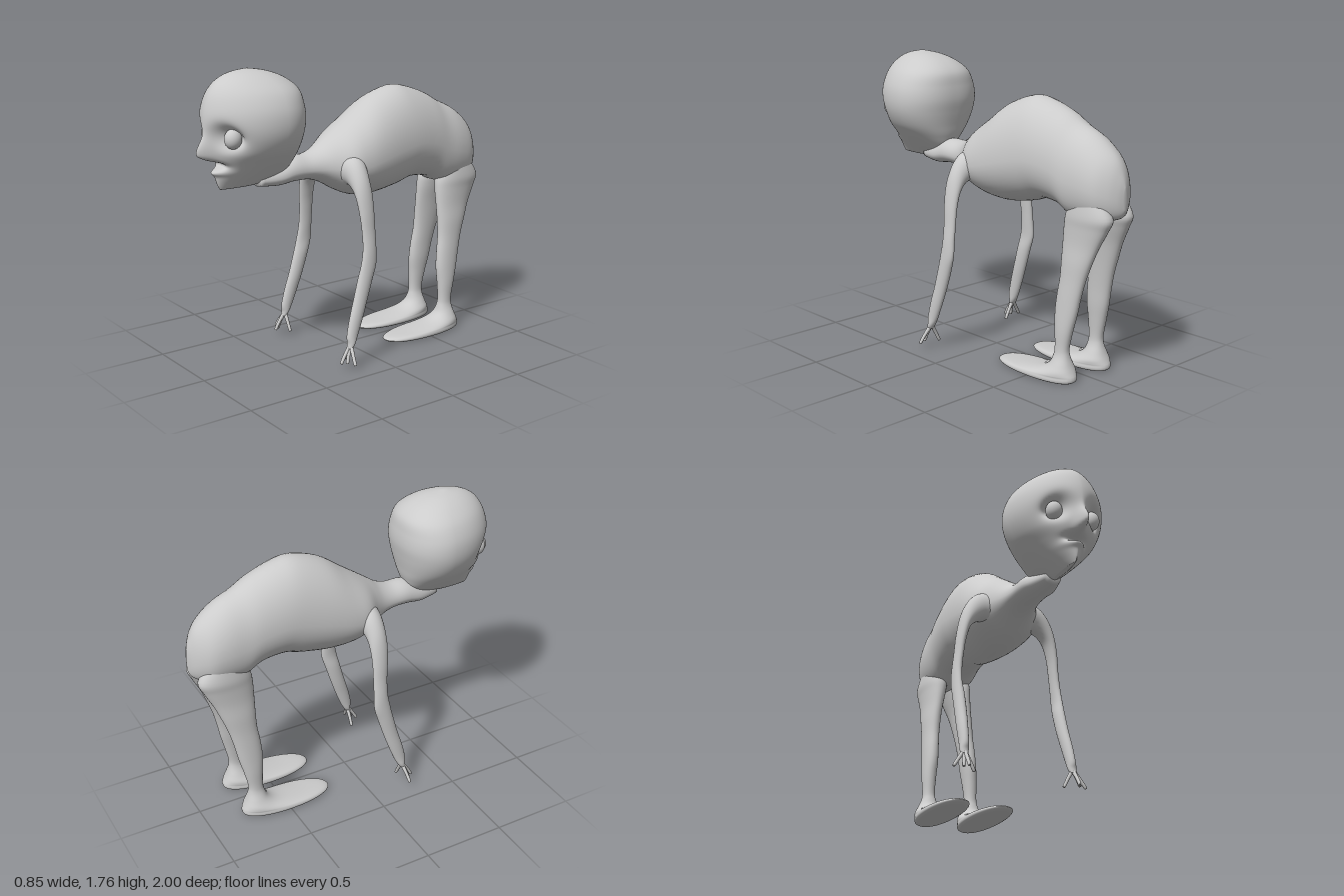
import * as THREE from 'three';

const material = new THREE.MeshStandardMaterial({ color: 0xcccccc, roughness: 0.8 });
const spow = (v, p) => Math.sign(v) * Math.abs(v) ** p;
const bell = (d, w) => Math.exp(-((d / w) ** 2));

// Smoothly interpolates rows of numbers at u in 0..1
function sampleRows(rows, u) {
  const f = u * (rows.length - 1);
  const i = Math.min(Math.floor(f), rows.length - 2);
  const t = f - i;
  const at = k => rows[Math.max(0, Math.min(rows.length - 1, k))];
  return rows[0].map((_, c) => {
    const a = at(i - 1)[c], b = at(i)[c], d = at(i + 1)[c], e = at(i + 2)[c];
    const m0 = (d - a) / 2, m1 = (e - b) / 2;
    return b + t * (m0 + t * (3 * (d - b) - 2 * m0 - m1 + t * (2 * (b - d) + m0 + m1)));
  });
}

// Closed skin over cross-sections; ring(row, angle) returns one point
function loft(name, rows, ring, steps, sides) {
  const pos = [], idx = [];
  for (let j = 0; j <= steps; j++) {
    const row = sampleRows(rows, j / steps);
    for (let i = 0; i < sides; i++) pos.push(...ring(row, (i / sides) * Math.PI * 2));
  }
  for (let j = 0; j < steps; j++) {
    for (let i = 0; i < sides; i++) {
      const a = j * sides + i, b = j * sides + (i + 1) % sides;
      idx.push(a, b, a + sides, b, b + sides, a + sides);
    }
  }
  // End caps around a centre point
  for (const j of [0, steps]) {
    const c = [0, 0, 0], start = j * sides, centre = pos.length / 3;
    for (let i = 0; i < sides * 3; i++) c[i % 3] += pos[start * 3 + i] / sides;
    pos.push(...c);
    for (let i = 0; i < sides; i++) {
      const a = start + i, b = start + (i + 1) % sides;
      idx.push(...(j ? [centre, a, b] : [centre, b, a]));
    }
  }
  // Turn the faces outward if the enclosed volume is negative
  const p = k => new THREE.Vector3().fromArray(pos, k * 3);
  let volume = 0;
  for (let k = 0; k < idx.length; k += 3) volume += p(idx[k]).dot(p(idx[k + 1]).cross(p(idx[k + 2])));
  if (volume < 0) idx.reverse();
  const geometry = new THREE.BufferGeometry();
  geometry.setAttribute('position', new THREE.Float32BufferAttribute(pos, 3));
  geometry.setIndex(idx);
  geometry.computeVertexNormals();
  const mesh = new THREE.Mesh(geometry, material);
  mesh.name = name;
  return mesh;
}

// Rows: z, top, bottom, half width, squareness of the underside
function buildTorso() {
  const rows = [
    [-1.0, 1.14, 1.02, 0.01, 1], [-0.985, 1.2, 0.985, 0.05, 0.9], [-0.95, 1.28, 0.96, 0.1, 0.75],
    [-0.89, 1.345, 0.95, 0.147, 0.6], [-0.8, 1.41, 0.945, 0.17, 0.6], [-0.69, 1.46, 0.945, 0.18, 0.65],
    [-0.59, 1.515, 0.99, 0.19, 0.8], [-0.45, 1.565, 1.0, 0.205, 0.95], [-0.33, 1.58, 0.965, 0.215, 1.05],
    [-0.16, 1.525, 0.937, 0.228, 1.15], [-0.03, 1.435, 0.947, 0.23, 1.15], [0.07, 1.365, 0.985, 0.215, 1.1],
    [0.15, 1.31, 1.03, 0.155, 1], [0.22, 1.262, 1.065, 0.118, 1], [0.3, 1.235, 1.085, 0.1, 1],
    [0.4, 1.235, 1.085, 0.095, 1], [0.5, 1.2, 1.075, 0.085, 1], [0.62, 1.17, 1.085, 0.05, 1],
  ];
  return loft('torsoAndNeck', rows, ([z, top, bottom, hw, e], a) => {
    const mid = bottom + (top - bottom) * 0.42, s = Math.sin(a);
    const x = hw * spow(Math.cos(a), s < 0 ? e : 1.05);
    return [x, mid + (s > 0 ? top - mid : mid - bottom) * s, z];
  }, 72, 48);
}

// Rows: y, front z, back z, half width
function buildHead() {
  const rows = [
    [1.1, 0.86, 0.64, 0.015], [1.13, 0.877, 0.5, 0.05], [1.18, 0.89, 0.43, 0.105],
    [1.25, 0.9, 0.4, 0.175], [1.32, 0.925, 0.385, 0.235], [1.4, 0.945, 0.37, 0.273],
    [1.48, 0.955, 0.36, 0.285], [1.56, 0.945, 0.367, 0.273], [1.64, 0.915, 0.388, 0.232],
    [1.7, 0.865, 0.455, 0.165], [1.74, 0.79, 0.55, 0.09], [1.76, 0.69, 0.66, 0.01],
  ];
  return loft('head', rows, ([y, front, back, hw], a) => {
    const mid = back + (front - back) * 0.38, c = Math.cos(a);
    const x = hw * spow(Math.sin(a), c > 0 ? 1.15 : 0.85);
    let z = mid + (c > 0 ? front - mid : mid - back) * c;
    if (c > 0) {
      // Eye sockets, nose, open mouth and lower lip
      z -= 0.1 * bell(Math.abs(x) - 0.125, 0.06) * bell(y - 1.41, 0.06);
      z += 0.08 * bell(x, 0.03) * bell(y - 1.31, y > 1.31 ? 0.08 : 0.04);
      z -= 0.065 * bell(x, 0.06) * bell(y - 1.242, 0.022);
      z += 0.022 * bell(x, 0.06) * bell(y - 1.2, 0.016);
    }
    return [x, y, z];
  }, 100, 144);
}

// Rows: y, x centre, x radius, front z, back z; runs from hip to sole
function buildLeg(side) {
  const rows = [
    [1.06, 0.085, 0.06, -0.7, -0.92], [0.97, 0.083, 0.075, -0.66, -0.975], [0.9, 0.088, 0.066, -0.65, -0.95],
    [0.8, 0.1, 0.053, -0.65, -0.9], [0.7, 0.112, 0.049, -0.652, -0.86], [0.6, 0.12, 0.045, -0.65, -0.825],
    [0.5, 0.128, 0.044, -0.637, -0.8], [0.4, 0.134, 0.044, -0.63, -0.78], [0.3, 0.141, 0.041, -0.637, -0.755],
    [0.2, 0.144, 0.036, -0.642, -0.733], [0.15, 0.144, 0.042, -0.635, -0.735], [0.1, 0.144, 0.065, -0.61, -0.75],
    [0.065, 0.144, 0.087, -0.54, -0.765], [0.045, 0.145, 0.1, -0.4, -0.775], [0.034, 0.145, 0.108, -0.25, -0.78],
    [0.02, 0.145, 0.112, -0.205, -0.782], [0.008, 0.145, 0.108, -0.21, -0.778], [0, 0.145, 0.095, -0.235, -0.765],
  ];
  return loft(side > 0 ? 'leftLegAndFoot' : 'rightLegAndFoot', rows, ([y, x, rx, f, b], a) =>
    [side * (x + rx * spow(Math.cos(a), 0.9)), Math.max(0, y), (f + b) / 2 + (f - b) / 2 * spow(Math.sin(a), 0.95)], 85, 36);
}

// Rows: centre x y z, radius across, radius in z, tilt of the ring
function buildArm(side) {
  const rows = [
    [0.12, 1.14, 0.065, 0.1, 0.085, 1.5], [0.19, 1.125, 0.068, 0.085, 0.072, 1.2],
    [0.245, 1.075, 0.073, 0.058, 0.06, 0.8], [0.285, 1.0, 0.073, 0.036, 0.055, 0.35],
    [0.308, 0.9, 0.07, 0.028, 0.049, 0.1], [0.319, 0.8, 0.066, 0.025, 0.045, 0], [0.329, 0.7, 0.066, 0.026, 0.045, 0],
    [0.334, 0.61, 0.075, 0.026, 0.052, 0], [0.332, 0.52, 0.1, 0.031, 0.05, 0], [0.334, 0.4, 0.136, 0.031, 0.047, 0],
    [0.339, 0.3, 0.169, 0.029, 0.045, 0], [0.343, 0.2, 0.2, 0.026, 0.037, 0], [0.346, 0.155, 0.21, 0.026, 0.024, 0],
    [0.348, 0.125, 0.222, 0.02, 0.016, 0],
  ];
  const arm = new THREE.Group();
  arm.name = side > 0 ? 'leftArm' : 'rightArm';
  arm.add(loft('armSkin', rows, ([x, y, z, r, rz, t], a) => {
    const u = r * Math.cos(a);
    return [side * (x + u * Math.cos(t)), y + u * Math.sin(t), z + rz * Math.sin(a)];
  }, 65, 28));
  // Four thin splayed fingers
  const fingers = [[0.284, 0.035, 0.215], [0.348, 0.04, 0.285], [0.368, 0.04, 0.255], [0.42, 0.04, 0.235]];
  for (const [x, y, z] of fingers) {
    const rowsF = [[0, 0.013], [0.5, 0.0105], [0.94, 0.0095], [1, 0.004]];
    const knuckle = [0.347 + (x - 0.347) * 0.55, 0.095, 0.22 + (z - 0.22) * 0.6];
    const curve = new THREE.QuadraticBezierCurve3(
      new THREE.Vector3(0.346, 0.148, 0.214), new THREE.Vector3(...knuckle), new THREE.Vector3(x, y, z));
    arm.add(loft('finger', rowsF, ([t, r], a) => {
      const c = curve.getPoint(t), d = curve.getTangent(t);
      const u = new THREE.Vector3(0, 0, 1).cross(d).normalize();
      c.addScaledVector(u, r * Math.cos(a)).addScaledVector(d.cross(u), r * Math.sin(a));
      return [side * c.x, c.y, c.z];
    }, 12, 10));
  }
  return arm;
}

function buildEye(side) {
  const eye = new THREE.Mesh(new THREE.SphereGeometry(1, 32, 24), material);
  eye.name = side > 0 ? 'leftEye' : 'rightEye';
  eye.scale.set(0.047, 0.056, 0.05);
  eye.position.set(side * 0.122, 1.402, 0.842);
  return eye;
}

export function createModel() {
  const model = new THREE.Group();
  model.name = 'stoopingFigure';
  model.add(buildTorso(), buildHead());
  for (const side of [1, -1]) model.add(buildLeg(side), buildArm(side), buildEye(side));
  return model;
}
